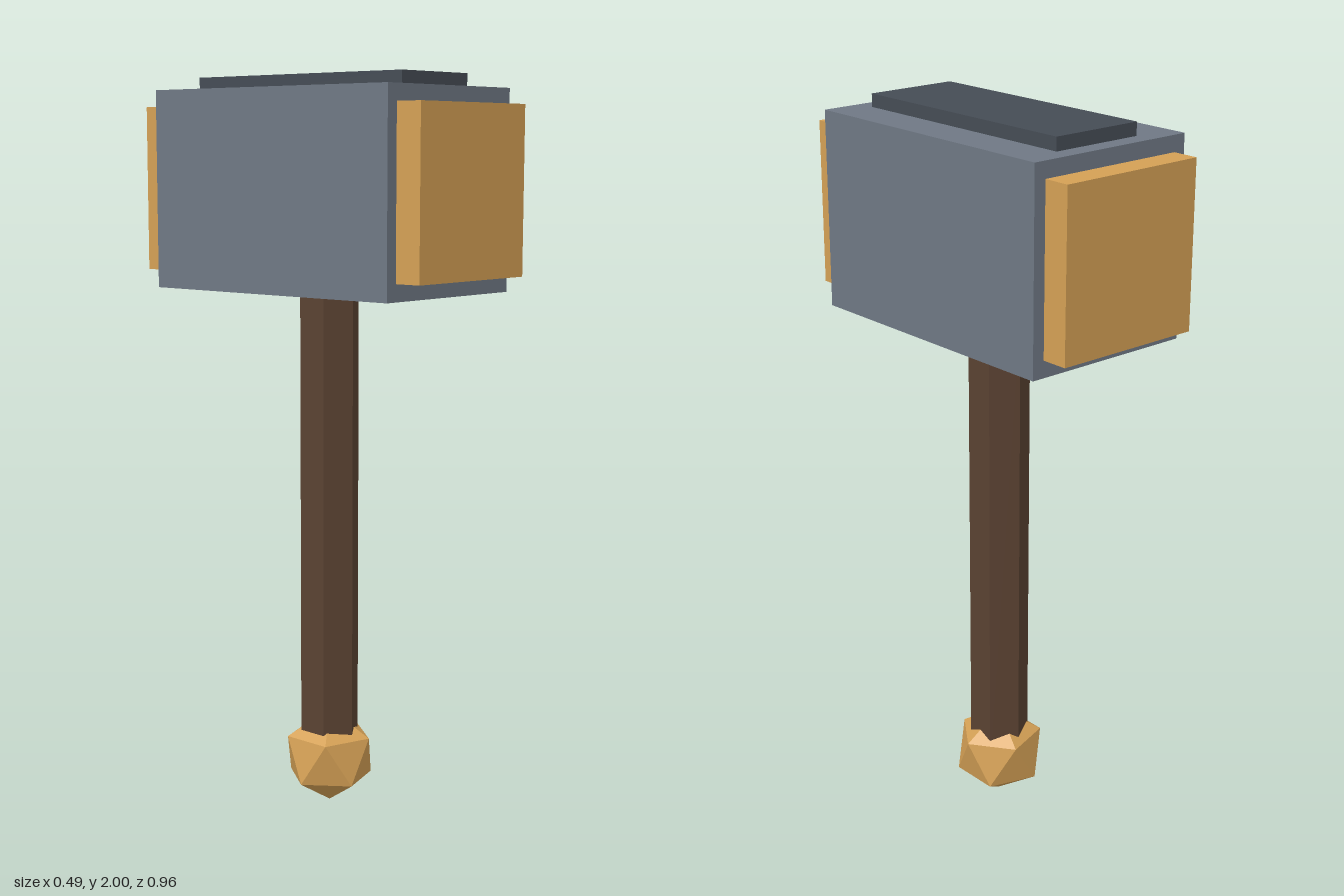
import * as THREE from 'three';

const material = (color) => new THREE.MeshStandardMaterial({ color, flatShading: true });

export function createModel() {
  const model = new THREE.Group();
  model.name = 'warHammer';
  const stone = material(0x6f7884);
  const darkStone = material(0x454c55);
  const wood = material(0x5a4232);
  const gold = material(0xd4a055);

  const add = (name, geometry, mat, x, y, z) => {
    const mesh = new THREE.Mesh(geometry, mat);
    mesh.name = name;
    mesh.position.set(x, y, z);
    model.add(mesh);
    return mesh;
  };

  // Head block with a raised plate on top
  add('head', new THREE.BoxGeometry(0.494, 0.528, 0.81), stone, 0, 1.701, 0);
  add('topPlate', new THREE.BoxGeometry(0.264, 0.06, 0.708), darkStone, 0, 1.97, 0);

  // Striking faces at both ends of the head
  for (const [name, side] of [['frontFace', 1], ['backFace', -1]]) {
    add(name, new THREE.BoxGeometry(0.426, 0.44, 0.1), gold, 0, 1.702, side * 0.429);
  }

  // Six-sided handle with a corner facing the front
  add('handle', new THREE.CylinderGeometry(0.083, 0.083, 1.36, 6), wood, 0, 0.8, 0);

  // Faceted pommel, turned so that one corner points straight down
  const pommel = new THREE.IcosahedronGeometry(0.133, 0);
  pommel.rotateZ(-Math.atan(2 / (1 + Math.sqrt(5))));
  add('pommel', pommel, gold, 0, 0.135, 0);

  return model;
}
